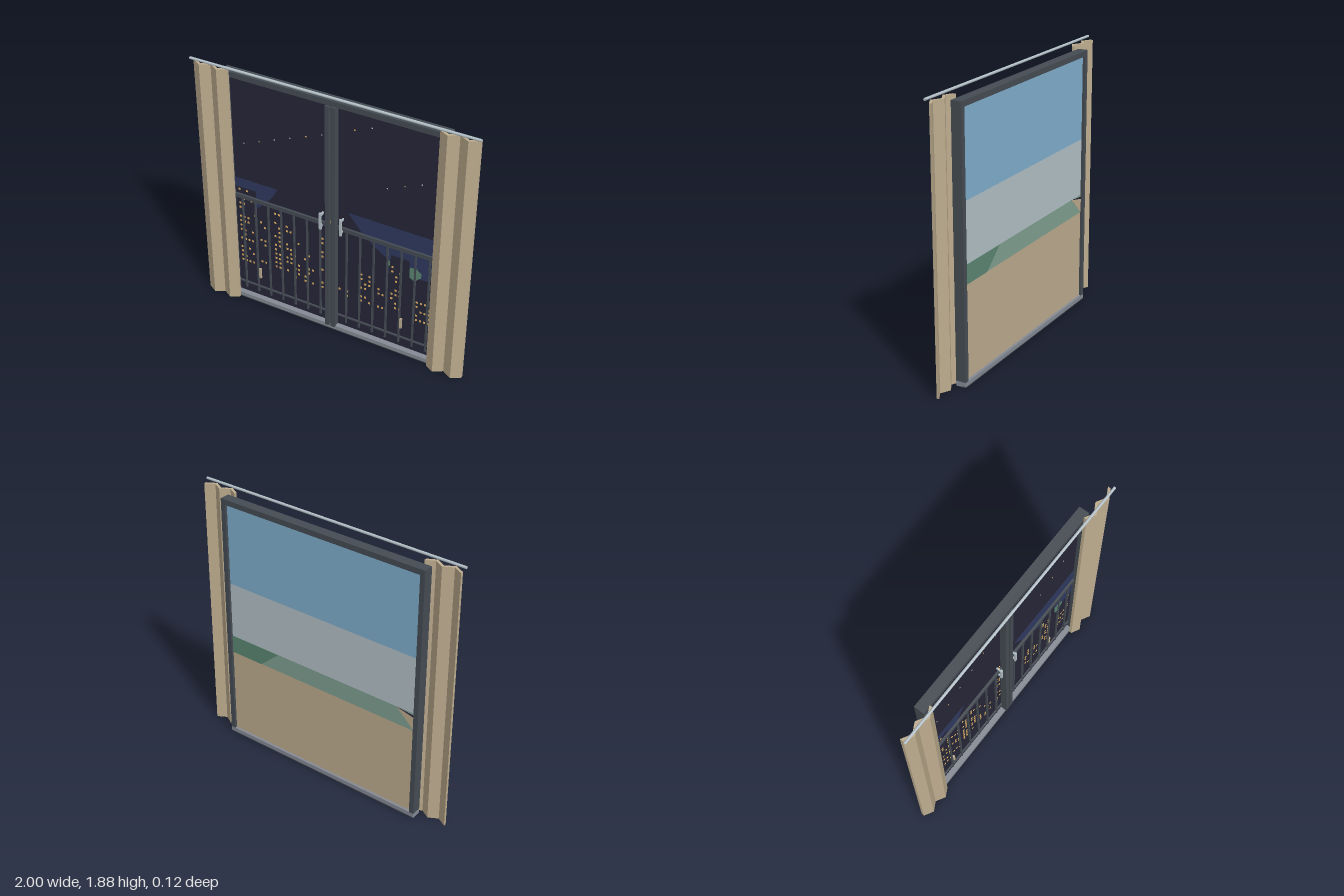
import * as THREE from 'three';

const mat = (name, color) => {
  const m = new THREE.MeshStandardMaterial({ color });
  m.name = name;
  return m;
};

export function createModel() {
  const linen = mat('linen', 0xbdac8e);
  const frameGrey = mat('frame grey', 0x454c53);
  const sillGrey = mat('sill grey', 0x858a94);
  const paleMetal = mat('pale metal', 0xb3c0c7);
  const night = mat('night', 0x252538);
  const dusk = mat('dusk blue', 0x2f3960);
  const amber = mat('amber', 0xdfb060);
  const skyBlue = mat('day sky', 0x7fafcd);
  const sage = mat('sage', 0x7fa091);
  const darkGreen = mat('dark green', 0x5b8672);

  const model = new THREE.Group();
  model.name = 'balconyDoor';
  const add = (name, geo, material, parent = model) => {
    const mesh = new THREE.Mesh(geo, material);
    mesh.name = name;
    parent.add(mesh);
    return mesh;
  };
  const group = (name) => {
    const g = new THREE.Group();
    g.name = name;
    model.add(g);
    return g;
  };
  // box given by its limits on each axis
  const box = (name, x0, x1, y0, y1, z0, z1, material, parent) => {
    const geo = new THREE.BoxGeometry(x1 - x0, y1 - y0, z1 - z0);
    geo.translate((x0 + x1) / 2, (y0 + y1) / 2, (z0 + z1) / 2);
    return add(name, geo, material, parent);
  };
  // thin flat polygon standing at depth z
  const plate = (name, pts, z, material, parent) => {
    const shape = new THREE.Shape(pts.map(([x, y]) => new THREE.Vector2(x, y)));
    const geo = new THREE.ExtrudeGeometry(shape, { depth: 0.002, bevelEnabled: false });
    geo.translate(0, 0, z);
    return add(name, geo, material, parent);
  };

  // outer frame
  const frame = group('frame');
  box('header', -0.79, 0.79, 1.787, 1.825, -0.062, 0.008, frameGrey, frame);
  box('sill', -0.79, 0.79, 0, 0.035, -0.062, 0.008, sillGrey, frame);
  box('sillBase', -0.79, 0.79, 0, 0.006, -0.063, 0.009, frameGrey, frame);
  for (const s of [-1, 1]) {
    const x = s * 0.773;
    box('jamb', x - 0.017, x + 0.017, 0.035, 1.787, -0.062, 0.008, frameGrey, frame);
  }

  // meeting stiles and pull handles of the sliding doors
  const doors = group('slidingDoors');
  box('leftMeetingStile', 0.003, 0.033, 0.03, 1.785, -0.03, 0.018, frameGrey, doors);
  box('rightMeetingStile', -0.04, -0.01, 0.03, 1.785, -0.03, 0.018, frameGrey, doors);
  box('stileGap', -0.01, 0.003, 0.03, 1.785, -0.03, 0.004, frameGrey, doors);
  for (const x of [-0.079, 0.071]) {
    box('handle', x - 0.008, x + 0.008, 0.83, 0.96, 0.004, 0.016, paleMetal, doors);
    for (const y of [0.85, 0.94]) {
      box('handleMount', x - 0.005, x + 0.005, y - 0.008, y + 0.008, -0.03, 0.004, paleMetal, doors);
    }
  }

  // daytime landscape on the back
  const day = group('dayScene');
  const W = 0.757;
  for (const [name, y0, y1, m] of [
    ['daySky', 1.205, 1.788, skyBlue], ['dayHaze', 0.8, 1.205, paleMetal],
    ['dayMeadow', 0.67, 0.8, sage], ['dayGround', 0.034, 0.67, linen],
  ]) box(name, -W, W, y0, y1, -0.044, -0.036, m, day);
  plate('dayWood', [[W, 0.67], [W, 0.8], [0.35, 0.8], [0.5, 0.67]], -0.047, darkGreen, day);
  plate('dayField', [[-W, 0.67], [-0.62, 0.8], [-W, 0.77]], -0.047, linen, day);
  plate('dayRidge', [[-W, 0.77], [-0.62, 0.8], [-W, 0.785]], -0.047, night, day);

  // night scene on the front
  const scene = group('nightScene');
  box('nightSky', -W, W, 0.034, 1.788, -0.036, -0.03, night, scene);
  plate('duskLeft', [[-W, 0.93], [-0.595, 0.93], [-0.595, 0.79], [-0.53, 0.85],
    [-0.47, 0.92], [-0.425, 1], [-W, 1]], -0.03, dusk, scene);
  plate('duskRight', [[0.11, 1], [0.15, 0.95], [0.21, 0.88], [0.29, 0.81], [0.36, 0.76],
    [0.42, 0.73], [0.42, 0.78], [0.555, 0.78], [0.555, 0.73], [0.63, 0.73], [0.63, 0.66],
    [W, 0.66], [W, 1]], -0.03, dusk, scene);
  plate('tree', [[0.56, 0.65], [0.6, 0.625], [0.615, 0.65], [0.64, 0.67], [0.645, 0.7],
    [0.61, 0.735], [0.56, 0.73]], -0.027, darkGreen, scene);
  plate('treeEdge', [[0.4, 0.69], [0.418, 0.69], [0.418, 0.73], [0.4, 0.73]], -0.027, darkGreen, scene);

  // lit windows: each tower has left edge, columns, lowest and highest window
  let seed = 11;
  const rand = () => (seed = (seed * 16807) % 2147483647) / 2147483647;
  const towers = [
    [-0.725, 5, 0.31, 0.92, 0.5], [-0.565, 3, 0.31, 0.7, 0.45], [-0.45, 2, 0.31, 0.82, 0.6],
    [-0.36, 4, 0.31, 0.74, 0.45], [-0.22, 3, 0.31, 0.6, 0.4], [-0.085, 2, 0.31, 0.92, 0.5],
    [0.045, 3, 0.31, 0.4, 0.45], [0.21, 3, 0.31, 0.56, 0.45], [0.34, 2, 0.31, 0.48, 0.6],
    [0.435, 3, 0.31, 0.78, 0.55], [0.62, 4, 0.31, 0.46, 0.55], [0.72, 1, 0.46, 0.66, 0.5],
  ];
  for (const [x0, cols, y0, y1, chance] of towers) {
    for (let c = 0; c < cols; c++) {
      for (let y = y0; y < y1; y += 0.0375) {
        if (rand() > chance) continue;
        const x = x0 + c * 0.03;
        box('litWindow', x - 0.007, x + 0.007, y - 0.007, y + 0.007, -0.03, -0.027, amber, scene);
      }
    }
  }
  box('litWindow', -0.009, 0, 0.9, 0.92, 0.003, 0.005, amber, scene);

  // stars in slanting rows
  const stars = [[0.145, 1.64], [0.265, 1.69], [0.38, 1.285], [0.5, 1.34], [0.615, 1.39]];
  for (let i = 0; i < 6; i++) stars.push([-0.67 + i * 0.117, 1.29 + i * 0.049]);
  stars.forEach(([x, y], i) => box('star', x - 0.004, x + 0.004, y - 0.004, y + 0.004,
    -0.03, -0.028, i % 3 ? paleMetal : amber, scene));

  // balcony lamps
  for (const x of [-0.582, 0.513]) {
    box('lamp', x - 0.008, x + 0.008, 0.2, 0.28, -0.03, -0.016, linen, scene);
  }

  // balcony railing
  const railing = group('railing');
  box('topRail', -W, W, 0.847, 0.876, -0.03, -0.014, frameGrey, railing);
  box('bottomRail', -W, W, 0.115, 0.125, -0.03, -0.018, frameGrey, railing);
  for (let i = -7; i <= 7; i++) {
    if (i === 0) continue;
    const x = i * 0.1;
    box('baluster', x - 0.006, x + 0.006, 0.07, 0.85, -0.03, -0.019, frameGrey, railing);
  }

  // pleated curtains, mirrored
  const fold = [[0.735, 0.018], [0.795, 0.05], [0.86, 0.012], [0.925, 0.048], [0.99, 0.011]];
  for (const s of [-1, 1]) {
    const outline = [
      ...fold.map(([x, z]) => new THREE.Vector2(s * x, -(z + 0.01))),
      ...[...fold].reverse().map(([x, z]) => new THREE.Vector2(s * x, -(z - 0.01))),
    ];
    const geo = new THREE.ExtrudeGeometry(new THREE.Shape(outline), { depth: 1.85, bevelEnabled: false });
    geo.rotateX(-Math.PI / 2);
    add(s > 0 ? 'leftCurtain' : 'rightCurtain', geo, linen);
  }

  // curtain rod
  const rod = new THREE.CylinderGeometry(0.009, 0.009, 2, 12);
  rod.rotateZ(Math.PI / 2);
  rod.translate(0, 1.871, 0.043);
  add('curtainRod', rod, paleMetal);

  return model;
}
